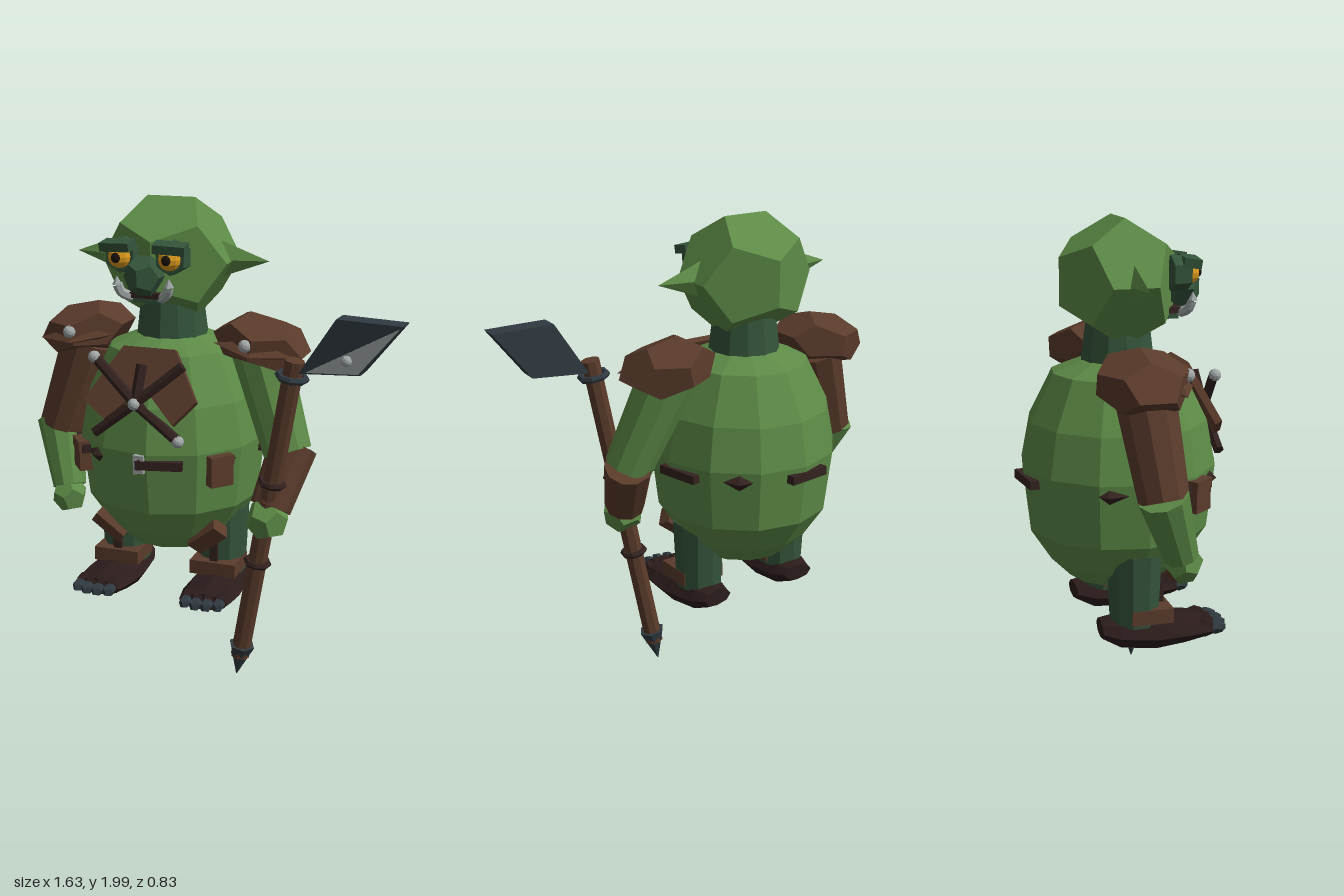
import * as THREE from 'three';

const mat = (name, color) => {
  const m = new THREE.MeshStandardMaterial({ color, flatShading: true });
  m.name = name;
  return m;
};
const V = (x, y, z) => new THREE.Vector3(x, y, z);
const CX = -0.215; // body centre line

export function createModel() {
  const root = new THREE.Group();
  root.name = 'spearGuard';
  const green = mat('skin green', 0x5d8b47), darkGreen = mat('dark green', 0x34543a);
  const brown = mat('leather brown', 0x5a3b2b), strap = mat('dark strap', 0x33221f);
  const sole = mat('boot brown', 0x2c1c1c), iron = mat('dark iron', 0x303a40);
  const pale = mat('pale metal', 0xa0a6a6), amber = mat('amber', 0xdd9a1e);
  const black = mat('pupil black', 0x1a100c);

  const add = (name, geo, m, p = [0, 0, 0], r = [0, 0, 0], s = [1, 1, 1], parent = root) => {
    const mesh = new THREE.Mesh(geo, m);
    mesh.name = name;
    mesh.position.set(...p);
    mesh.rotation.set(...r);
    mesh.scale.set(...s);
    parent.add(mesh);
    return mesh;
  };
  const box = (w, h, d) => new THREE.BoxGeometry(w, h, d);
  const dodeca = () => new THREE.DodecahedronGeometry(1);
  const ball = (name, m, p, r) => add(name, new THREE.IcosahedronGeometry(r, 1), m, p);
  // tapered cylinder between two points
  const limb = (name, a, b, ra, rb, m, sides = 10) => {
    const A = V(...a), B = V(...b), dir = B.clone().sub(A);
    const mesh = add(name, new THREE.CylinderGeometry(rb, ra, dir.length(), sides), m,
      A.clone().add(B).multiplyScalar(0.5).toArray());
    mesh.quaternion.setFromUnitVectors(V(0, 1, 0), dir.normalize());
    return mesh;
  };
  const polygon = (pts) => new THREE.Shape(pts.map(([x, y]) => new THREE.Vector2(x, y)));

  // Belly and neck
  const profile = [[0, 0.56], [0.2, 0.56], [0.28, 0.64], [0.365, 0.77], [0.395, 1.03], [0.36, 1.21],
    [0.265, 1.4], [0.14, 1.45]].map(([r, y]) => new THREE.Vector2(r, y));
  add('belly', new THREE.LatheGeometry(profile, 12), green, [CX, 0, 0], [0, 0.08, 0]);
  add('neck', new THREE.CylinderGeometry(0.125, 0.15, 0.2, 12), darkGreen, [CX, 1.53, 0]);

  // Head and ears
  add('head', dodeca(), green, [CX, 1.755, 0], [0, 0, 0], [0.285, 0.262, 0.25]);
  for (const s of [-1, 1]) {
    add('ear', new THREE.ConeGeometry(1, 0.26, 4), green, [CX + s * 0.285, 1.76, 0.005],
      [0, 0, -s * Math.PI / 2], [0.095, 1, 0.05]);
  }

  // Face
  const FX = -0.235;
  add('nose', dodeca(), darkGreen, [FX, 1.72, 0.25], [0, 0, 0], [0.08, 0.085, 0.085]);
  add('mouth', box(0.15, 0.022, 0.07), strap, [FX, 1.64, 0.215]);
  add('lowerLip', box(0.12, 0.022, 0.06), darkGreen, [FX, 1.617, 0.195]);
  for (const s of [-1, 1]) {
    const x = FX + s * 0.105;
    add('eyeSocket', new THREE.CylinderGeometry(0.066, 0.07, 0.07, 6), darkGreen, [x, 1.79, 0.21], [Math.PI / 2, 0, 0]);
    add('eye', new THREE.SphereGeometry(0.047, 10, 8), amber, [x, 1.79, 0.243]);
    add('pupil', new THREE.SphereGeometry(0.021, 8, 6), black, [x, 1.79, 0.28]);
    add('brow', box(0.13, 0.035, 0.07), darkGreen, [x + s * 0.005, 1.834, 0.25], [0.15, s * 0.1, -s * 0.06]);
    const path = new THREE.CatmullRomCurve3([
      V(FX + s * 0.06, 1.63, 0.23), V(FX + s * 0.095, 1.65, 0.255), V(FX + s * 0.108, 1.685, 0.265)]);
    add('tusk', new THREE.TubeGeometry(path, 5, 0.02, 6), pale);
    add('tuskTip', new THREE.ConeGeometry(0.02, 0.035, 6), pale, [FX + s * 0.109, 1.7, 0.266]);
  }

  // Chest cloth with crossed straps
  const cloth = polygon([[-0.11, 0.3], [0.11, 0.3], [0.225, 0.1], [0.14, 0], [0.02, 0.12],
    [-0.02, 0.12], [-0.15, 0], [-0.25, 0.07]]);
  add('chestCloth', new THREE.ExtrudeGeometry(cloth, { depth: 0.03, bevelEnabled: false }), brown,
    [CX, 1.15, 0.355], [-0.42, 0, 0]);
  const knot = [-0.24, 1.23, 0.355];
  for (const end of [[-0.42, 1.4, 0.33], [-0.06, 1.09, 0.355], [-0.055, 1.385, 0.31], [-0.415, 1.095, 0.36],
    [-0.225, 1.38, 0.315]]) limb('chestStrap', knot, end, 0.022, 0.022, strap, 6);
  for (const p of [[-0.42, 1.4, 0.335], [-0.24, 1.23, 0.37], [-0.06, 1.09, 0.36]]) ball('chestBead', pale, p, 0.025);

  // Belt segments around the belly, angle measured from +x through the back
  const onBelt = (deg, r) => {
    const a = deg * Math.PI / 180;
    return { p: [CX + Math.cos(a) * r, 0.99, -Math.sin(a) * r], r: [0, a + Math.PI / 2, 0] };
  };
  for (const deg of [12, 97, 212, 282]) {
    const b = onBelt(deg, 0.378);
    add('beltBar', box(0.19, 0.036, 0.05), strap, b.p, b.r);
  }
  for (const deg of [52, 160, 237, 324]) {
    const b = onBelt(deg, 0.37);
    add('beltDiamond', new THREE.OctahedronGeometry(1), strap, b.p, b.r, [0.075, 0.042, 0.04]);
  }
  for (const [x, y, w, h] of [[-0.228, 0.99, 0.013, 0.08], [-0.208, 1.022, 0.035, 0.015], [-0.208, 0.962, 0.035, 0.015],
    [-0.197, 1.005, 0.013, 0.03]]) add('buckle', box(w, h, 0.03), pale, [x, y, 0.39]);
  for (const [x, z, turn] of [[-0.527, 0.235, -0.9], [0.075, 0.255, 0.85]]) {
    add('pouch', box(0.1, 0.125, 0.06), brown, [x, 0.955, z], [0, turn, 0]);
    add('pouchFlap', box(0.105, 0.04, 0.068), brown, [x, 1.0, z], [0, turn, 0]);
  }

  // Shoulder pads
  for (const s of [-1, 1]) {
    const x = CX + s * 0.385;
    add('shoulderPad', dodeca(), brown, [x, 1.43, -0.01], [0, 0, -s * 0.22], [0.205, 0.115, 0.19]);
    add('padFold', new THREE.OctahedronGeometry(1), brown, [x, 1.42, 0.11], [0.2, 0, -s * 0.12], [0.17, 0.045, 0.075]);
    ball('padStud', pale, [s < 0 ? -0.61 : 0.15, 1.447, 0.16], 0.027);
  }

  // Right arm, hanging
  limb('rightUpperArm', [-0.59, 1.38, 0], [-0.715, 1.0, 0.04], 0.12, 0.1, brown);
  limb('rightForearm', [-0.73, 1.03, 0.03], [-0.65, 0.76, 0.13], 0.1, 0.07, green);
  add('rightHand', dodeca(), green, [-0.645, 0.725, 0.145], [0.3, 0.2, 0.2], [0.075, 0.085, 0.075]);

  // Left arm, gripping the spear
  limb('leftUpperArm', [0.16, 1.4, -0.01], [0.31, 1.0, 0.08], 0.12, 0.1, green);
  limb('leftBracer', [0.325, 1.02, 0.05], [0.27, 0.79, 0.18], 0.1, 0.085, brown);
  add('leftHand', dodeca(), green, [0.265, 0.75, 0.205], [0.2, 0.3, 0.15], [0.09, 0.095, 0.09]);

  // Spear
  const foot = V(0.14, 0.1, 0.171), top = V(0.38, 1.43, 0.243);
  const along = (t) => foot.clone().lerp(top, t);
  limb('spearShaft', foot.toArray(), top.toArray(), 0.04, 0.04, brown, 8);
  limb('spearButt', along(0.04).toArray(), along(-0.07).toArray(), 0.056, 0.002, iron, 6);
  const dir = top.clone().sub(foot).normalize();
  for (const [t, r, m] of [[0.34, 0.045, strap], [0.61, 0.045, strap], [0.95, 0.055, iron]]) {
    add('shaftRing', new THREE.TorusGeometry(r, 0.014, 6, 8), m, along(t).toArray())
      .quaternion.setFromUnitVectors(V(0, 0, 1), dir);
  }
  const blade = new THREE.Group();
  blade.name = 'blade';
  blade.position.set(0.41, 0, 0.2);
  blade.rotation.y = -0.07;
  root.add(blade);
  add('bladeSlab', new THREE.ExtrudeGeometry(polygon([[0, 1.39], [0.245, 1.407], [0.403, 1.608], [0.145, 1.614]]),
    { depth: 0.085, bevelEnabled: false }), iron, [0, 0, 0], [0, 0, 0], [1, 1, 1], blade);
  add('bladeEdge', new THREE.ExtrudeGeometry(polygon([[0.03, 1.398], [0.238, 1.412], [0.392, 1.6]]),
    { depth: 0.005, bevelEnabled: false }), pale, [0, 0, 0.085], [0, 0, 0], [1, 1, 1], blade);
  ball('bladeRivet', pale, [0.595, 1.46, 0.305], 0.022);

  // Boot: octagonal rings along z, each [z, half width, centre y, half height]
  const rings = [[-0.13, 0.07, 0.4, 0.036], [-0.06, 0.1, 0.385, 0.062], [0.08, 0.118, 0.378, 0.068],
    [0.2, 0.122, 0.386, 0.055], [0.31, 0.105, 0.39, 0.036]];
  const bootGeo = () => {
    const g = new THREE.CylinderGeometry(1, 1, 1, 8, 4).rotateX(Math.PI / 2);
    const p = g.attributes.position;
    for (let i = 0; i < p.count; i++) {
      const [z, w, cy, h] = rings[Math.round((p.getZ(i) + 0.5) * 4)];
      p.setXYZ(i, p.getX(i) * w, cy + p.getY(i) * h, z);
    }
    g.computeVertexNormals();
    return g;
  };

  // Legs and feet
  for (const s of [-1, 1]) {
    const x = CX + s * 0.22;
    limb('leg', [x, 0.42, 0.01], [x, 0.72, 0.01], 0.1, 0.115, darkGreen);
    add('ankleWrap', box(0.2, 0.06, 0.17), brown, [x, 0.465, 0.06]);
    add('shinStrap', box(0.035, 0.14, 0.025), strap, [x, 0.545, 0.115]);
    add('hipPad', box(0.15, 0.08, 0.06), brown, [x - s * 0.005, 0.635, 0.19], [0.5, s * 0.3, s * 0.6]);
    const boot = new THREE.Group();
    boot.name = 'foot';
    boot.position.set(x + s * 0.005, 0, 0);
    boot.rotation.y = s * 0.05;
    root.add(boot);
    add('boot', bootGeo(), sole, [0, 0, 0], [0, 0, 0], [1, 1, 1], boot);
    for (let i = 0; i < 4; i++) {
      const tx = (i - 1.5) * 0.047, tz = 0.33 - Math.abs(i - 1.5) * 0.012;
      add('toe', dodeca(), sole, [tx, 0.395, tz - 0.03], [0, 0, 0], [0.03, 0.038, 0.05], boot);
      add('toeClaw', dodeca(), iron, [tx, 0.393, tz + 0.015], [0, 0, 0], [0.026, 0.028, 0.045], boot);
    }
  }
  return root;
}
